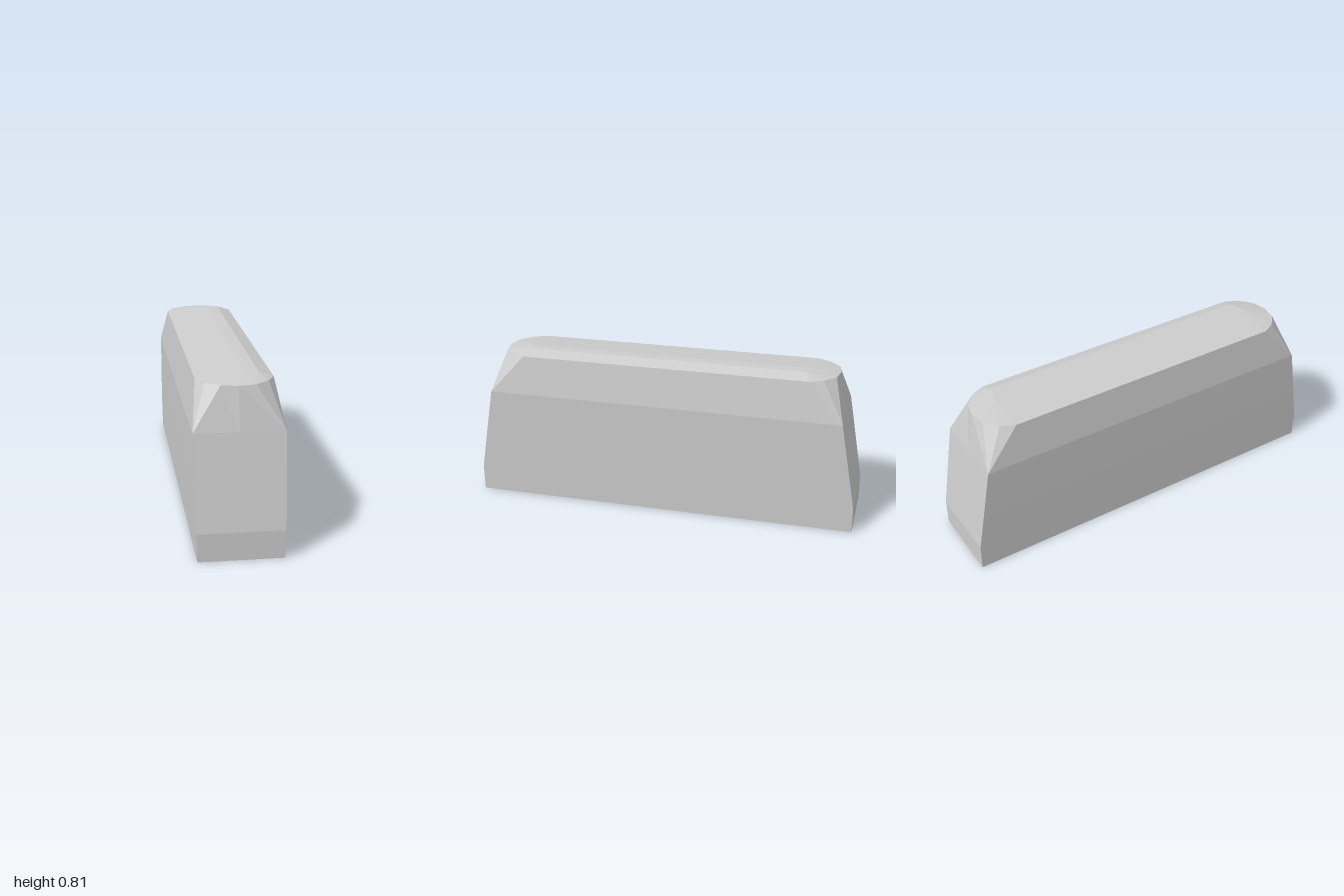
import * as THREE from 'three';

// One end of the rounded top rim, from the left side (+x) to the right (-x)
const rimEnd = [[0.18, 0.74], [0.145, 0.81], [0.08, 0.865], [0, 0.88], [-0.08, 0.865], [-0.145, 0.81], [-0.18, 0.74]];

// Full horizontal loop: the front end, then the same points turned around for the back
function loop(y, end) {
  const front = end.map(([x, z]) => new THREE.Vector3(x, y, z));
  const back = end.map(([x, z]) => new THREE.Vector3(x, y, -z)).reverse();
  return [...front, ...back];
}

// Rectangular loop whose points gather at the corners, so the rim fans out from them
const rectLoop = (y, hx, hz) => loop(y, rimEnd.map(([x]) => [Math.sign(x) * hx, hz]));

// Off-centre flat ridge on the top
const ridgeLoop = (y) => loop(y, rimEnd.map(([x]) => (x > 0 ? [0.11, 0.72] : [0.05, 0.74])));

// Join loops from bottom to top, closing either end on request
function loft(loops, closeBottom, closeTop) {
  const pos = [];
  const tri = (a, b, c) => {
    const area = b.clone().sub(a).cross(c.clone().sub(a)).length();
    if (area > 1e-7) for (const p of [a, b, c]) pos.push(p.x, p.y, p.z);
  };
  for (let k = 0; k + 1 < loops.length; k++) {
    const lo = loops[k], hi = loops[k + 1], n = lo.length;
    for (let i = 0; i < n; i++) {
      const j = (i + 1) % n;
      tri(lo[i], hi[j], lo[j]);
      tri(lo[i], hi[i], hi[j]);
    }
  }
  const first = loops[0], last = loops[loops.length - 1];
  for (let i = 1; i + 1 < first.length; i++) {
    if (closeBottom) tri(first[0], first[i], first[i + 1]);
    if (closeTop) tri(last[0], last[i + 1], last[i]);
  }
  const geo = new THREE.BufferGeometry();
  geo.setAttribute('position', new THREE.Float32BufferAttribute(pos, 3));
  geo.computeVertexNormals();
  return geo;
}

export function createModel() {
  const group = new THREE.Group();
  group.name = 'taperedBlock';
  const lightGrey = new THREE.MeshStandardMaterial({ color: 0xcccccc, flatShading: true });
  lightGrey.name = 'lightGrey';

  const add = (name, geo) => {
    const mesh = new THREE.Mesh(geo, lightGrey);
    mesh.name = name;
    group.add(mesh);
  };

  // Body: upright foot, leaning ends, then bevels up to the rounded rim
  const rim = loop(0.78, rimEnd);
  add('body', loft([
    rectLoop(0, 0.2, 1),
    rectLoop(0.135, 0.203, 1),
    rectLoop(0.33, 0.207, 0.965),
    rectLoop(0.58, 0.21, 0.92),
    rim,
  ], true, false));

  // Shallow crowned top
  add('top', loft([rim, ridgeLoop(0.805)], false, true));

  return group;
}
